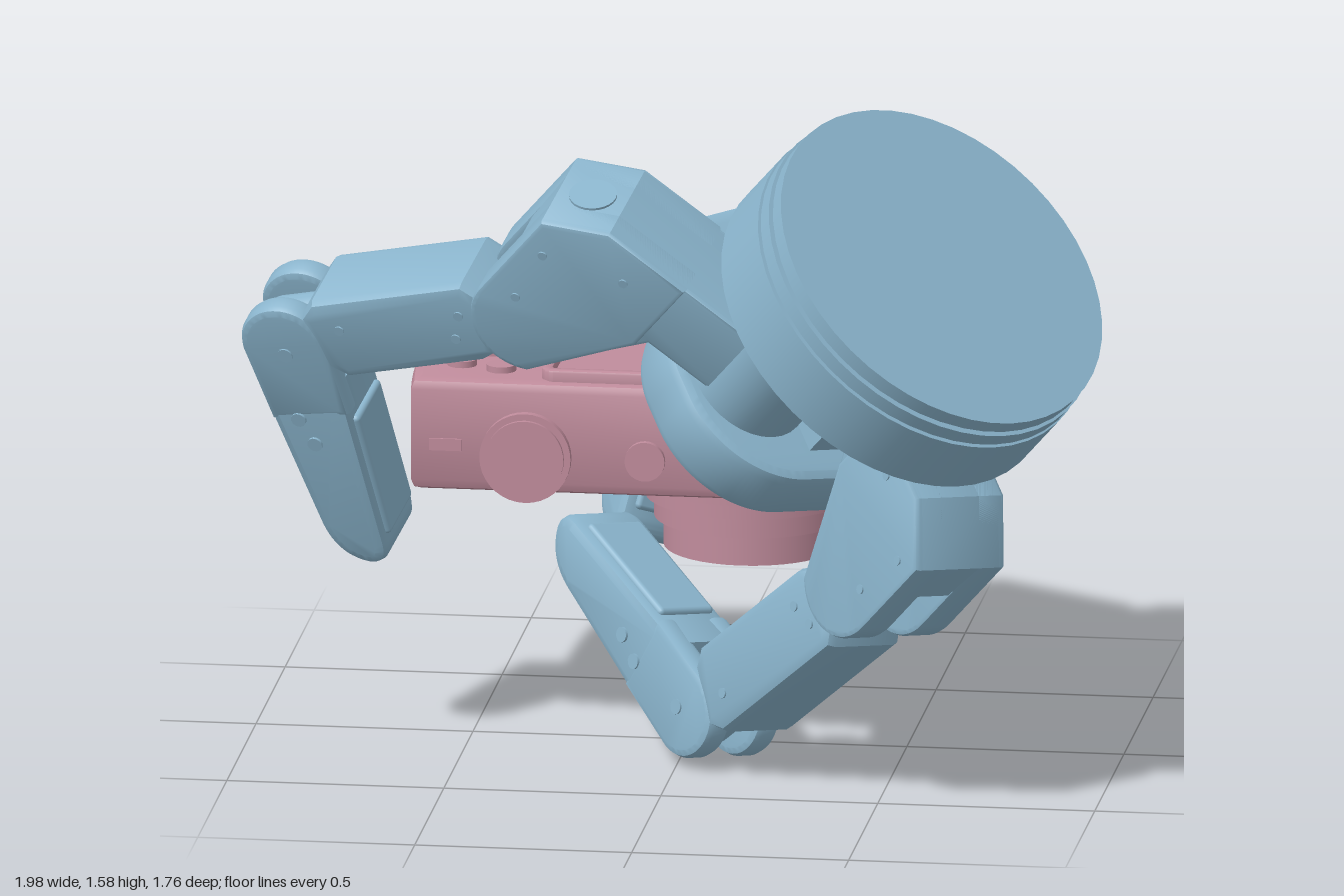
import * as THREE from 'three';
import { RoundedBoxGeometry } from 'three/addons/geometries/RoundedBoxGeometry.js';
import { toCreasedNormals } from 'three/addons/utils/BufferGeometryUtils.js';

const blue = new THREE.MeshStandardMaterial({ color: 0x8ab4cc });
const pink = new THREE.MeshStandardMaterial({ color: 0xc08c9c });
const deg = Math.PI / 180;

function add(parent, name, geometry, material, x = 0, y = 0, z = 0) {
  const mesh = new THREE.Mesh(geometry, material);
  mesh.name = name;
  mesh.position.set(x, y, z);
  parent.add(mesh);
  return mesh;
}

// Outline extruded along z, centred, with bevelled edges inside the given width
function slab(shape, width, bevel = 0.012) {
  const g = new THREE.ExtrudeGeometry(shape, {
    depth: width - 2 * bevel, bevelThickness: bevel, bevelSize: bevel,
    bevelOffset: -bevel, bevelSegments: 2, curveSegments: 14,
  });
  g.translate(0, 0, bevel - width / 2);
  return toCreasedNormals(g, 0.6);
}

const polygon = (pts) => new THREE.Shape(pts.map(([x, y]) => new THREE.Vector2(x, y)));
const drum = (r, h, n = 40) => new THREE.CylinderGeometry(r, r, h, n);

// Rounded rectangle outline
function roundedRect(hx, hy, r) {
  const s = new THREE.Shape();
  s.absarc(hx - r, hy - r, r, 0, 90 * deg);
  s.absarc(-hx + r, hy - r, r, 90 * deg, 180 * deg);
  s.absarc(-hx + r, -hy + r, r, 180 * deg, 270 * deg);
  s.absarc(hx - r, -hy + r, r, 270 * deg, 360 * deg);
  return s;
}

// Screw heads on both sides of a link
function screws(parent, spots, halfWidth, r = 0.016) {
  for (const [x, y] of spots) for (const side of [-1, 1]) {
    add(parent, 'screw', drum(r, 0.01, 12), blue, x, y, side * halfWidth).rotation.x = 90 * deg;
  }
}

// Finger with its first joint at the origin: x points outward, y to the wrist.
// The knuckle rises by the given amount to meet the underside of the disc.
function makeFinger(name, rise, bend, tipBend, length, hasPort) {
  const finger = new THREE.Group();
  finger.name = name;

  // Knuckle: a solid neck with two fork cheeks around the joint
  const core = polygon([[-0.5, 0.17], [-0.24, 0.17], [-0.12, -0.03], [-0.06, 0.1], [0.13, 0.12],
    [0.135, rise - 0.095], [0, rise], [-0.5, rise]]);
  add(finger, 'knuckleCore', slab(core, 0.25), blue);
  const cheek = new THREE.Shape();
  cheek.moveTo(-0.22, rise);
  cheek.lineTo(0, rise);
  cheek.lineTo(0.135, rise - 0.095);
  cheek.lineTo(0.135, 0);
  cheek.absarc(0, 0, 0.135, 0, -125 * deg, true);
  cheek.lineTo(-0.22, 0.15);
  const cheekGeometry = slab(cheek, 0.09);
  for (const side of [-1, 1]) add(finger, 'knuckleCheek', cheekGeometry, blue, 0, 0, side * 0.088);
  if (hasPort) add(finger, 'knucklePort', drum(0.055, 0.01, 24), blue, 0.068, rise - 0.047, 0).rotation.z = -0.61;
  screws(finger, [[0.08, 0.2], [-0.1, 0.28], [0.06, 0.05]], 0.132, 0.011);

  // Proximal link: body with a narrow tongue at each end
  const link = new THREE.Group();
  link.name = 'proximalLink';
  link.rotation.z = -bend * deg;
  finger.add(link);
  add(link, 'linkTongue', new RoundedBoxGeometry(length + 0.12, 0.13, 0.078, 3, 0.035), blue, length / 2, 0, 0);
  const body = polygon([[0.12, -0.09], [0.16, -0.105], [length - 0.13, -0.105], [length - 0.09, -0.07],
    [length - 0.07, 0.07], [length - 0.11, 0.105], [0.14, 0.105], [0.1, 0.06]]);
  add(link, 'linkBody', slab(body, 0.22, 0.025), blue);
  add(link, 'jointPin', drum(0.05, 0.25, 20), blue).rotation.x = 90 * deg;
  screws(link, [[0.17, 0.03], [0.2, -0.03], [length - 0.16, 0.03]], 0.109, 0.012);

  // Distal link: tapering fingertip, forked around the second joint
  const tip = new THREE.Group();
  tip.name = 'distalLink';
  tip.position.set(length * Math.cos(bend * deg), -length * Math.sin(bend * deg), 0);
  tip.rotation.z = -tipBend * deg;
  finger.add(tip);
  const ear = new THREE.Shape();
  ear.absarc(0, 0, 0.105, 90 * deg, 270 * deg);
  ear.lineTo(0.2, -0.105);
  ear.lineTo(0.2, 0.088);
  for (const side of [-1, 1]) add(tip, 'jointEar', slab(ear, 0.066, 0.018), blue, 0, 0, side * 0.074);
  const pad = new THREE.Shape();
  pad.moveTo(0.08, 0.1);
  pad.lineTo(0.49, 0.06);
  pad.quadraticCurveTo(0.59, 0.05, 0.615, -0.03);
  pad.quadraticCurveTo(0.625, -0.08, 0.565, -0.085);
  pad.lineTo(0.12, -0.105);
  add(tip, 'fingertip', slab(pad, 0.21, 0.025), blue);
  add(tip, 'gripPad', new RoundedBoxGeometry(0.33, 0.03, 0.16, 2, 0.012), blue, 0.385, -0.09, 0).rotation.z = 0.05;
  screws(tip, [[0.02, 0], [0.2, 0.02], [0.27, 0.0]], 0.106, 0.018);
  for (const side of [-1, 1]) {
    add(tip, 'tipPin', drum(0.016, 0.03, 12), blue, 0.5, 0.052, side * 0.045);
  }
  return finger;
}

// Gripper: y runs along the wrist axis, x between the two spreading fingers
function makeHand() {
  const hand = new THREE.Group();
  hand.name = 'gripper';
  const n = new THREE.Vector3(0.578, 0.703, 0.416).normalize();
  const z = new THREE.Vector3(-0.68, 0.138, 0.72).cross(n).normalize();
  const q = n.clone().cross(z);
  hand.quaternion.setFromRotationMatrix(new THREE.Matrix4().makeBasis(q, n, z));
  hand.position.set(0.645, 1.28, 0.485);

  // Wrist disc as stacked rings: radius, top, bottom
  for (const [r, top, bottom] of [[0.429, 0, -0.035], [0.42, -0.035, -0.045], [0.434, -0.045, -0.08],
    [0.426, -0.08, -0.088], [0.437, -0.088, -0.25]]) {
    add(hand, 'wristDisc', drum(r, top - bottom, 48), blue, 0, (top + bottom) / 2, 0);
  }

  // Palm plate and the block joining it to the disc
  add(hand, 'palmPlate', slab(roundedRect(0.45, 0.27, 0.24), 0.15, 0.025), blue, 0, -0.54, 0).rotation.x = 90 * deg;
  add(hand, 'palmBlock', new THREE.BoxGeometry(0.32, 0.24, 0.56), blue, 0.01, -0.36, 0.09);

  // Fixed finger and two spreading fingers: offset, reach, height, heading, bends, length
  const fingers = [
    ['fixedFinger', 0, 0.465, -0.585, 90, 97, 164.5, 0.685],
    ['leadingFinger', 0.26, 0.49, -0.618, -48, 55, 140, 0.64],
    ['trailingFinger', -0.245, 0.49, -0.615, -105.5, 64, 137, 0.64],
  ];
  for (const [name, offset, reach, height, heading, bend, tipBend, length] of fingers) {
    const f = makeFinger(name, -0.25 - height, bend, tipBend, length, offset !== 0);
    const a = heading * deg;
    f.rotation.y = a;
    f.position.set(offset + reach * Math.cos(a), height, -reach * Math.sin(a));
    hand.add(f);
    if (offset) add(hand, 'spreadHub', drum(0.15, 0.24, 32), blue, offset, -0.36, 0);
  }
  return hand;
}

// Compact camera lying with its lens downward and its screen on top
function makeCamera() {
  const camera = new THREE.Group();
  camera.name = 'camera';

  // Body outline in plan, with a gently bowed end
  const plan = new THREE.Shape();
  plan.moveTo(-0.63, -0.095);
  plan.lineTo(0.495, -0.095);
  plan.lineTo(0.495, 0.54);
  plan.lineTo(-0.63, 0.54);
  plan.quadraticCurveTo(-0.67, 0.225, -0.63, -0.095);
  add(camera, 'cameraBody', slab(plan, 0.265, 0.026), pink, 0, 0.733, 0).rotation.x = -90 * deg;

  // Screen with raised frame
  const frame = roundedRect(0.41, 0.3, 0.03);
  frame.holes.push(roundedRect(0.385, 0.272, 0.012));
  add(camera, 'screenFrame', slab(frame, 0.05, 0.006), pink, 0.075, 0.865, -0.225).rotation.x = 90 * deg;
  add(camera, 'screen', new THREE.BoxGeometry(0.755, 0.04, 0.53), pink, 0.075, 0.862, -0.225);

  // Rear controls: x, z, radius
  for (const [x, z, r] of [[-0.485, -0.22, 0.106], [-0.53, -0.41, 0.034], [-0.435, -0.445, 0.034],
    [-0.53, -0.04, 0.034], [-0.435, -0.005, 0.034]]) {
    add(camera, 'rearButton', drum(r, 0.03, 32), pink, x, 0.865, z);
  }

  // Edge controls: mode dial, shutter button, small slots
  add(camera, 'modeDial', drum(0.105, 0.04, 36), pink, -0.365, 0.69, 0.095).rotation.x = 90 * deg;
  add(camera, 'dialCap', drum(0.09, 0.05, 36), pink, -0.365, 0.69, 0.1).rotation.x = 90 * deg;
  add(camera, 'shutterButton', drum(0.046, 0.03, 28), pink, -0.09, 0.69, 0.095).rotation.x = 90 * deg;
  add(camera, 'powerSlot', new THREE.BoxGeometry(0.075, 0.028, 0.012), pink, -0.55, 0.712, 0.094);
  add(camera, 'indicator', new THREE.BoxGeometry(0.014, 0.036, 0.012), pink, 0.04, 0.712, 0.094);

  // Telescoping lens: radius, top, bottom
  for (const [r, top, bottom] of [[0.275, 0.62, 0.58], [0.245, 0.59, 0.54], [0.225, 0.55, 0.49], [0.203, 0.5, 0.42]]) {
    add(camera, 'lensRing', drum(r, top - bottom, 40), pink, 0.115, (top + bottom) / 2, -0.215);
  }
  const shutter = roundedRect(0.075, 0.055, 0.015);
  shutter.holes.push(roundedRect(0.055, 0.035, 0.01));
  add(camera, 'lensWindow', slab(shutter, 0.012, 0.002), pink, 0.115, 0.418, -0.215).rotation.x = 90 * deg;
  return camera;
}

export function createModel() {
  const model = new THREE.Group();
  model.name = 'gripperHoldingCamera';
  model.add(makeHand(), makeCamera());
  return model;
}
